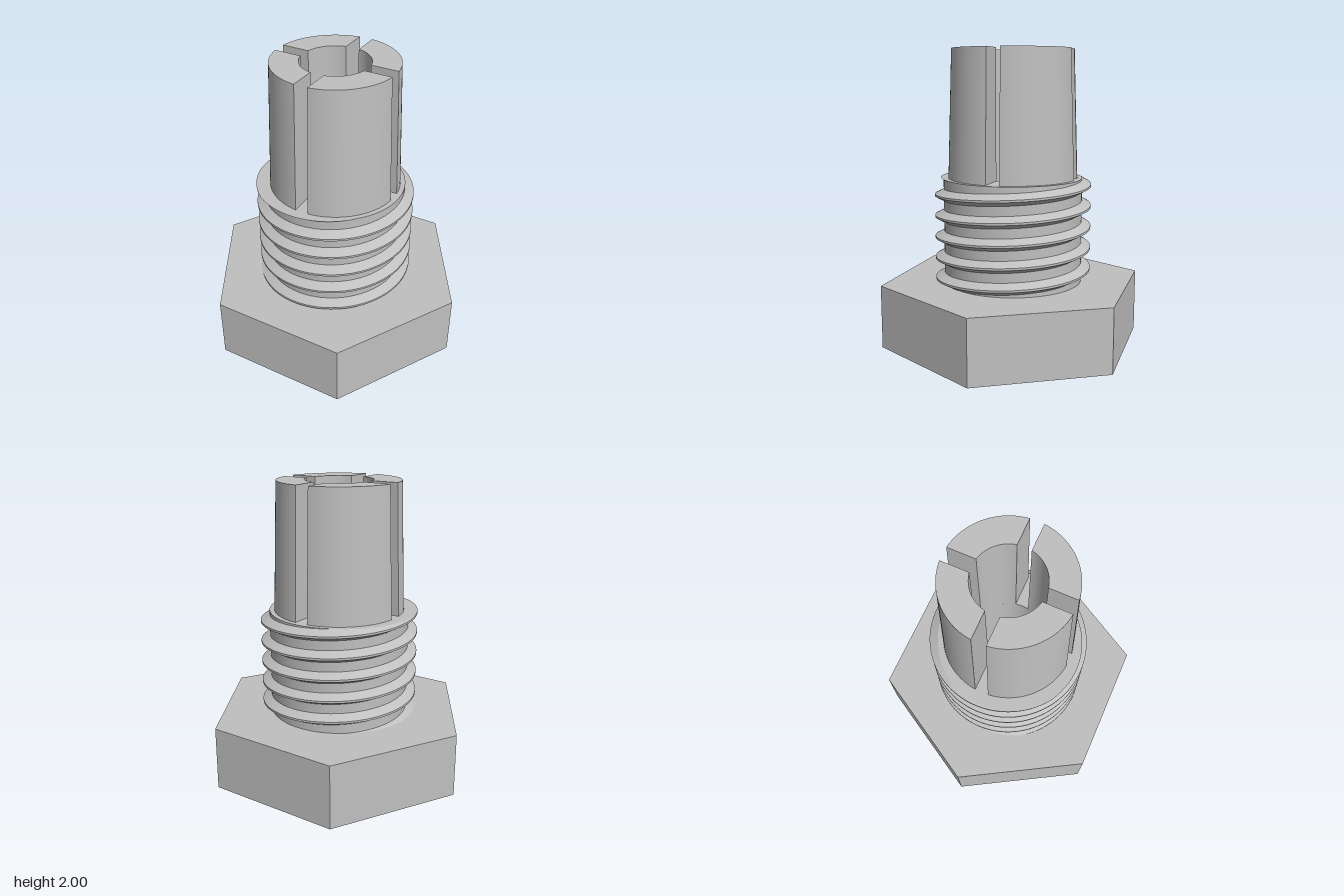
import * as THREE from 'three';
import { toCreasedNormals } from 'three/addons/utils/BufferGeometryUtils.js';

const BORE = 0.225, CORE = 0.47, HEAD_TOP = 0.43, THREAD_TOP = 1.14, TOP = 2;

// Extrude a plan shape upwards from y0 to y1
function extrudeUp(shape, y0, y1) {
  const g = new THREE.ExtrudeGeometry(shape, { depth: y1 - y0, bevelEnabled: false, curveSegments: 40 });
  return g.rotateX(-Math.PI / 2).translate(0, y0, 0);
}

function withBore(shape) {
  shape.holes.push(new THREE.Path().absarc(0, 0, BORE, 0, Math.PI * 2, true));
  return shape;
}

// Right-handed helical ridge, cut flat at the top of the shank
function threadGeometry() {
  const root = 0.465, crest = 0.53, halfRoot = 0.042, halfCrest = 0.007, pitch = 0.143, phase = 1.018;
  const radiusAt = d =>
    root + (crest - root) * THREE.MathUtils.clamp((halfRoot - Math.abs(d)) / (halfRoot - halfCrest), 0, 1);
  const section = yc => {
    const pts = [-halfRoot, -halfCrest, halfCrest, halfRoot].map(d => {
      const cut = Math.min(d, THREAD_TOP - yc);
      return [radiusAt(cut), yc + cut];
    });
    pts.push([root, pts[3][1]]);
    return pts;
  };
  const y0 = 0.385, y1 = 1.185, steps = 540;
  const pos = [], index = [];
  for (let k = 0; k < 4; k++) {
    const base = pos.length / 3;
    for (let i = 0; i <= steps; i++) {
      const yc = y0 + (y1 - y0) * i / steps;
      const a = (yc - phase) / pitch * Math.PI * 2;
      const s = section(yc);
      for (const [r, y] of [s[k], s[k + 1]]) pos.push(r * Math.sin(a), y, r * Math.cos(a));
      if (i < steps) {
        const n = base + i * 2;
        index.push(n, n + 2, n + 3, n, n + 3, n + 1);
      }
    }
  }
  const g = new THREE.BufferGeometry();
  g.setAttribute('position', new THREE.Float32BufferAttribute(pos, 3));
  g.setIndex(index);
  g.computeVertexNormals();
  return g;
}

// One quarter jaw of the slotted, tapered collet
function jawGeometry() {
  const gap = 0.045, rBottom = 0.437, rTop = 0.408;
  const a = Math.asin(gap / rBottom), b = Math.asin(gap / BORE);
  const shape = new THREE.Shape();
  shape.absarc(0, 0, rBottom, a, Math.PI / 2 - a, false);
  shape.absarc(0, 0, BORE, Math.PI / 2 - b, b, true);
  shape.closePath();
  const g = extrudeUp(shape, THREAD_TOP, TOP);
  const p = g.attributes.position;
  for (let i = 0; i < p.count; i++) {
    const x = p.getX(i), z = p.getZ(i);
    if (p.getY(i) > TOP - 0.01 && Math.hypot(x, z) > 0.3) {
      const s = rTop / rBottom;
      // taper the outside while keeping the slot walls parallel
      p.setX(i, Math.max(x * s, gap));
      p.setZ(i, Math.min(z * s, -gap));
    }
  }
  return toCreasedNormals(g, 0.5);
}

export function createModel() {
  const group = new THREE.Group();
  const metal = new THREE.MeshStandardMaterial({ color: 0xc0c0c0 });
  metal.name = 'grey metal';
  const add = (name, geometry) => {
    const mesh = new THREE.Mesh(geometry, metal);
    mesh.name = name;
    group.add(mesh);
    return mesh;
  };

  // Hexagonal head with corners on the x axis
  const hex = new THREE.Shape();
  for (let i = 0; i < 6; i++) {
    const a = i * Math.PI / 3, x = 0.907 * Math.cos(a), y = 0.907 * Math.sin(a);
    if (i) hex.lineTo(x, y); else hex.moveTo(x, y);
  }
  hex.closePath();
  add('hexHead', toCreasedNormals(extrudeUp(withBore(hex), 0, HEAD_TOP), 0.5));

  // Threaded shank
  const disc = new THREE.Shape().absarc(0, 0, CORE, 0, Math.PI * 2, false);
  add('shank', toCreasedNormals(extrudeUp(withBore(disc), HEAD_TOP, THREAD_TOP), 0.5));
  add('thread', threadGeometry());

  // Four collet jaws
  const jaw = jawGeometry();
  for (let i = 0; i < 4; i++) add('colletJaw' + (i + 1), jaw).rotation.y = i * Math.PI / 2;

  return group;
}
